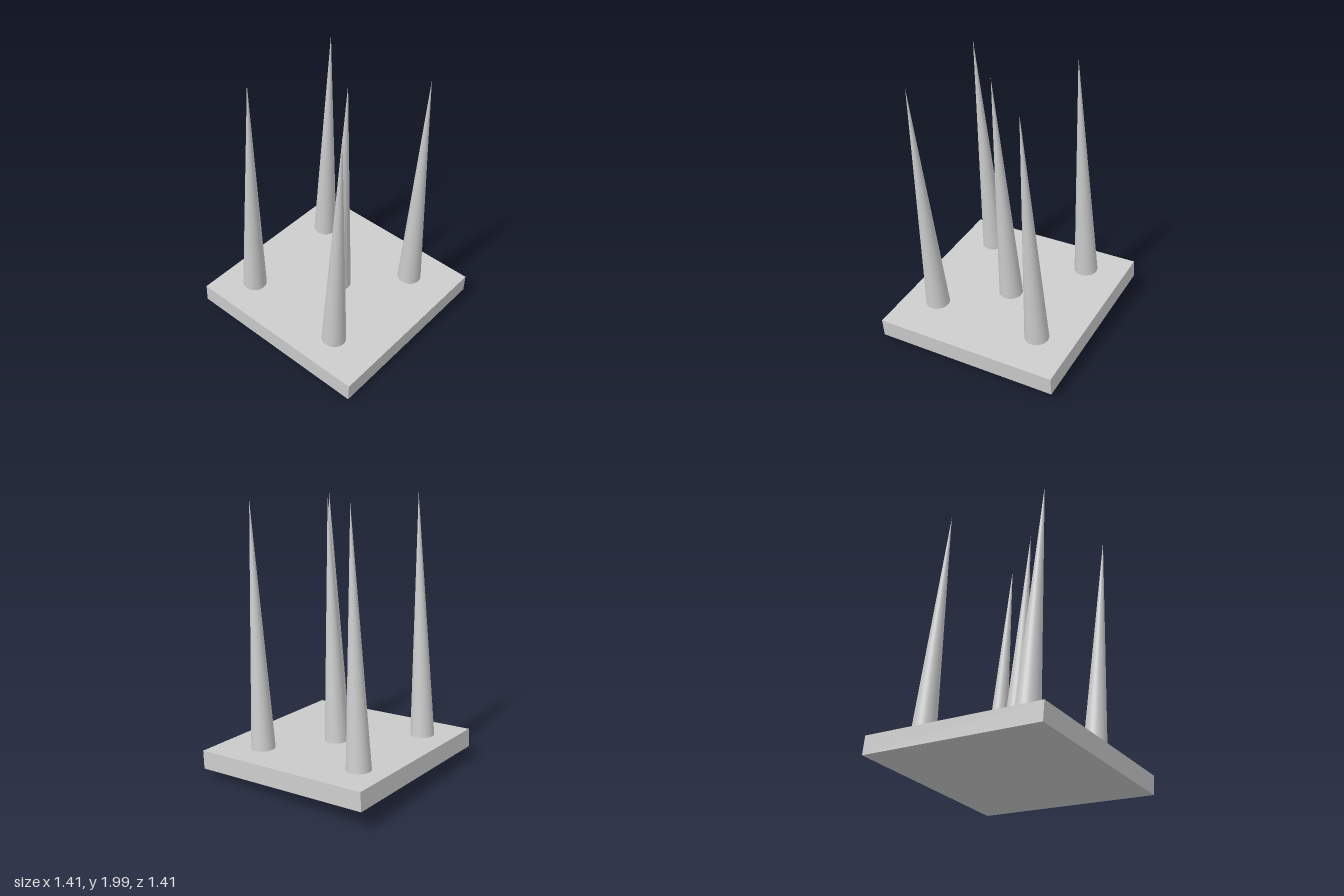
import * as THREE from 'three';

export function createModel() {
  const model = new THREE.Group();
  model.name = 'spikeBoard';
  const material = new THREE.MeshStandardMaterial({ color: 0xcccccc });
  const size = 1.36, thickness = 0.134;
  const spikeRadius = 0.086, spikeHeight = 1.735;

  // the whole board leans slightly; its local origin is the middle of its top face
  const board = new THREE.Group();
  board.name = 'tiltedBoard';
  const up = new THREE.Vector3(-0.039, 0.996, 0.077).normalize();
  const across = new THREE.Vector3(0.9985, 0.039, -0.035);
  const forward = across.clone().cross(up).normalize();
  across.crossVectors(up, forward);
  board.quaternion.setFromRotationMatrix(new THREE.Matrix4().makeBasis(across, up, forward));
  board.position.set(-0.003, 0.212, 0.004);
  model.add(board);

  // square base plate
  const base = new THREE.Mesh(new THREE.BoxGeometry(size, thickness, size), material);
  base.name = 'basePlate';
  base.position.y = -thickness / 2;
  board.add(base);

  // five tall spikes, unevenly spaced: one in the middle, one near each corner
  const spikeGeometry = new THREE.ConeGeometry(spikeRadius, spikeHeight, 32);
  const spots = [
    ['spikeCentre', 0.006, 0.011],
    ['spikeBackRight', -0.41, -0.449],
    ['spikeBackLeft', 0.387, -0.457],
    ['spikeFrontRight', -0.426, 0.331],
    ['spikeFrontLeft', 0.406, 0.357],
  ];
  for (const [name, x, z] of spots) {
    const spike = new THREE.Mesh(spikeGeometry, material);
    spike.name = name;
    spike.position.set(x, spikeHeight / 2, z);
    board.add(spike);
  }
  return model;
}
